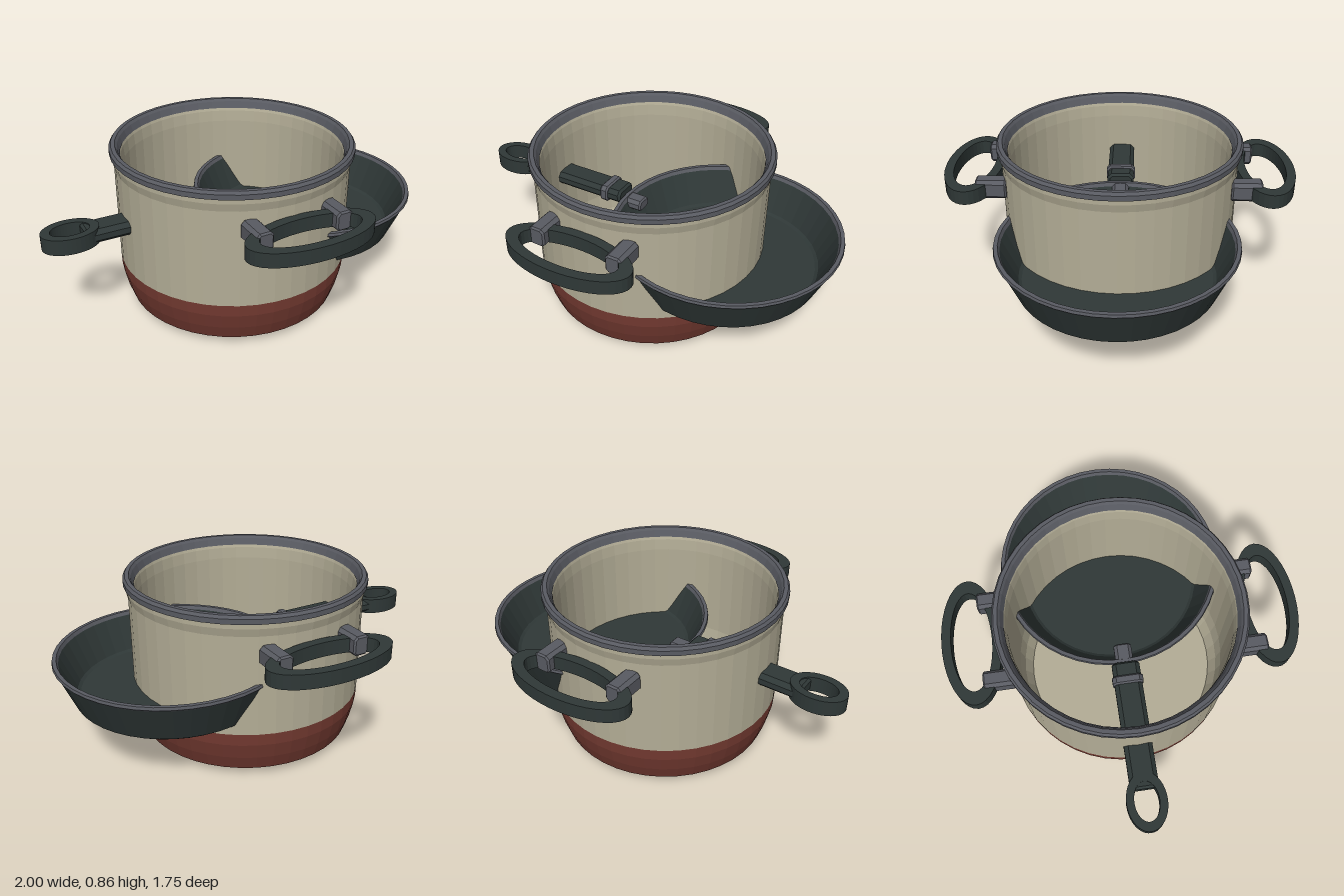
import * as THREE from 'three';

const material = (name, color) =>
  new THREE.MeshStandardMaterial({ name, color, flatShading: true });

export function createModel() {
  const cream = material('cream enamel', 0xb3ad96);
  const red = material('brick red', 0x723930);
  const dark = material('dark green iron', 0x2f3837);
  const grey = material('grey steel', 0x595b62);
  const model = new THREE.Group();
  model.name = 'potAndPan';

  const add = (parent, name, geometry, mat, x = 0, y = 0, z = 0) => {
    const mesh = new THREE.Mesh(geometry, mat);
    mesh.name = name;
    mesh.position.set(x, y, z);
    parent.add(mesh);
    return mesh;
  };
  const lathe = (points) =>
    new THREE.LatheGeometry(points.map(([r, y]) => new THREE.Vector2(r, y)), 44);

  // Flat elliptical ring lying in the ground plane, centred on its own origin
  const ovalRing = (ox, oz, ix, iz, height) => {
    const shape = new THREE.Shape().absellipse(0, 0, ox, oz, 0, Math.PI * 2);
    shape.holes.push(new THREE.Path().absellipse(0, 0, ix, iz, 0, Math.PI * 2));
    return new THREE.ExtrudeGeometry(shape, { depth: height, bevelEnabled: false, curveSegments: 20 })
      .translate(0, 0, -height / 2).rotateX(-Math.PI / 2);
  };

  // Bar along x with chamfered long edges and bevelled ends
  const chamferBar = (length, height, width, cut, end) => {
    const w = width / 2 - end, h = height / 2 - end;
    const shape = new THREE.Shape([
      [-w + cut, -h], [w - cut, -h], [w, -h + cut], [w, h - cut],
      [w - cut, h], [-w + cut, h], [-w, h - cut], [-w, -h + cut],
    ].map(([a, b]) => new THREE.Vector2(a, b)));
    return new THREE.ExtrudeGeometry(shape, {
      depth: length - 2 * end, bevelEnabled: true, bevelSegments: 1,
      bevelSize: end, bevelThickness: end,
    }).translate(0, 0, -length / 2 + end).rotateY(Math.PI / 2);
  };

  // Pot, from base to rim
  const pot = new THREE.Group();
  pot.name = 'pot';
  model.add(pot);
  add(pot, 'potBase', lathe([[0, 0], [0.475, 0], [0.545, 0.045]]), dark);
  add(pot, 'potLowerBand', lathe([[0.545, 0.045], [0.57, 0.12], [0.588, 0.2], [0.59, 0.26]]), red);
  add(pot, 'potOuterWall', lathe([[0.59, 0.26], [0.59, 0.76], [0.6, 0.8], [0.6, 0.825]]), cream);
  add(pot, 'potInside', lathe([
    [0.57, 0.85], [0.555, 0.8], [0.55, 0.74], [0.55, 0.25], [0.535, 0.15], [0.5, 0.07], [0, 0.07],
  ]), cream);
  add(pot, 'potRim', lathe([
    [0.595, 0.82], [0.61, 0.825], [0.61, 0.85], [0.6, 0.864], [0.58, 0.864], [0.57, 0.85], [0.557, 0.815],
  ]), grey);

  // Side handles with two brackets each
  for (const side of [1, -1]) {
    const handle = new THREE.Group();
    handle.name = side > 0 ? 'frontHandle' : 'backHandle';
    pot.add(handle);
    add(handle, 'handleRing', ovalRing(0.322, 0.145, 0.255, 0.1, 0.07), dark, 0, 0.67, side * 0.732);
    for (const x of [-0.205, 0.205]) {
      const bracket = add(handle, 'handleBracket', chamferBar(0.15, 0.096, 0.086, 0.012, 0.008),
        grey, x, 0.672, side * 0.617);
      bracket.rotation.y = Math.PI / 2;
    }
  }

  // Pan passing through the pot wall
  const pan = new THREE.Group();
  pan.name = 'pan';
  pan.position.x = 0.42;
  model.add(pan);
  add(pan, 'panBody', lathe([[0, 0.3], [0.475, 0.3], [0.492, 0.312], [0.572, 0.505]]), dark);
  add(pan, 'panInside', lathe([[0.553, 0.51], [0.475, 0.335], [0.46, 0.325], [0, 0.325]]), dark);
  add(pan, 'panRim', lathe([
    [0.57, 0.5], [0.58, 0.51], [0.577, 0.524], [0.558, 0.524], [0.55, 0.505],
  ]), grey);

  // Long pan handle, hanging loop and fittings
  const longHandle = new THREE.Group();
  longHandle.name = 'panHandle';
  model.add(longHandle);
  add(longHandle, 'handleGrip', chamferBar(0.64, 0.072, 0.14, 0.014, 0.012), dark, -0.48, 0.525, 0);
  add(longHandle, 'hangingLoop', ovalRing(0.14, 0.098, 0.095, 0.06, 0.08), dark, -0.86, 0.527, 0);
  add(longHandle, 'handleCollar', chamferBar(0.045, 0.09, 0.155, 0.015, 0.008), grey, -0.255, 0.525, 0);
  add(longHandle, 'handleTab', chamferBar(0.1, 0.06, 0.09, 0.012, 0.008), grey, -0.1, 0.49, 0);

  return model;
}
